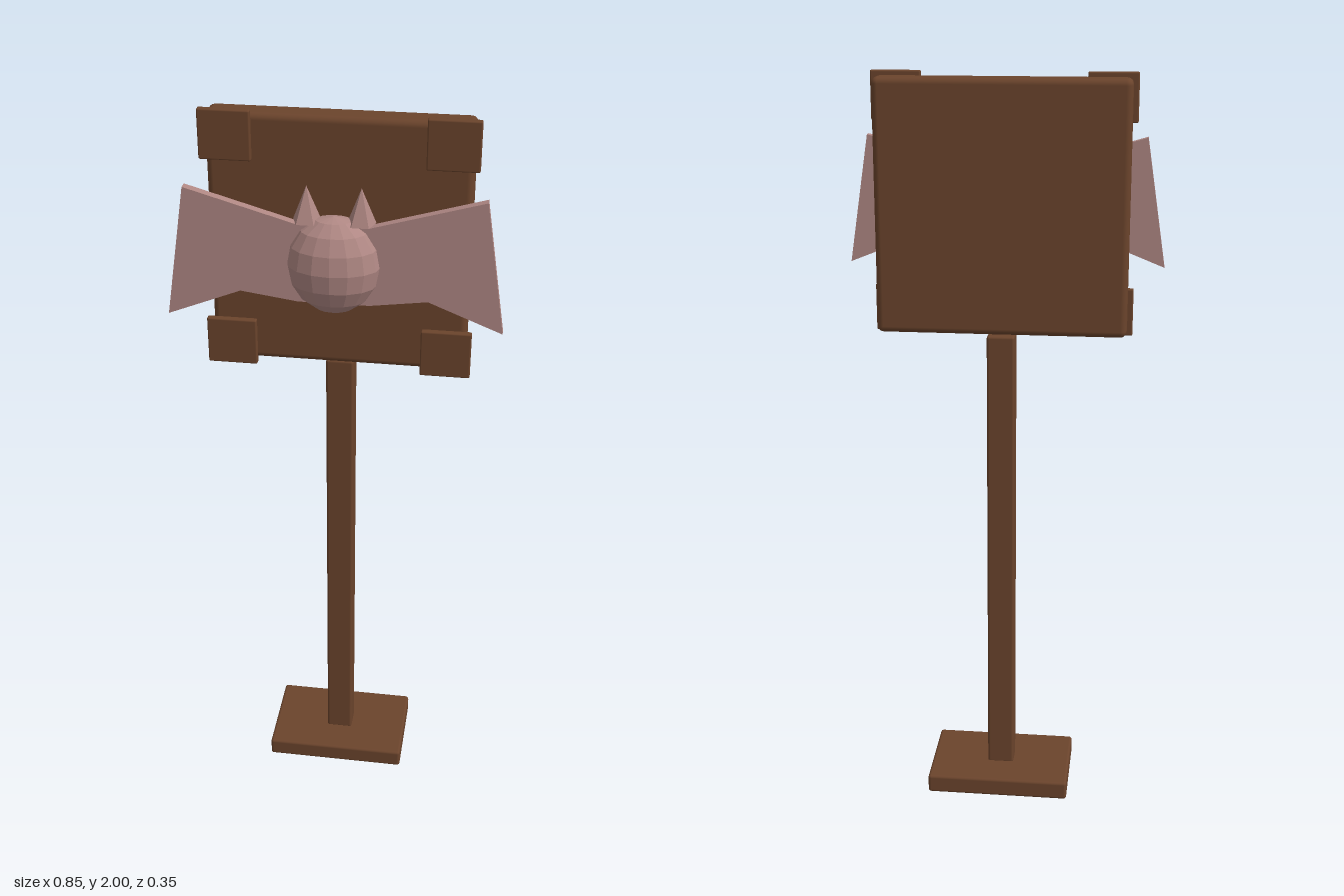
import * as THREE from 'three';
import { RoundedBoxGeometry } from 'three/addons/geometries/RoundedBoxGeometry.js';

export function createModel() {
  const wood = new THREE.MeshStandardMaterial({ color: 0x6b442c });
  wood.name = 'wood';
  const pink = new THREE.MeshStandardMaterial({ color: 0xb08884, flatShading: true });
  pink.name = 'dustyPink';

  const model = new THREE.Group();
  model.name = 'batSign';

  const add = (name, geometry, material, x, y, z) => {
    const mesh = new THREE.Mesh(geometry, material);
    mesh.name = name;
    mesh.position.set(x, y, z);
    model.add(mesh);
    return mesh;
  };
  // Softly bevelled wooden block given by its size and centre
  const block = (name, w, h, d, radius, x, y, z) =>
    add(name, new RoundedBoxGeometry(w, h, d, 2, radius), wood, x, y, z);

  // Stand and board
  block('base', 0.396, 0.053, 0.265, 0.008, 0, 0.0265, -0.0425);
  block('post', 0.074, 1.28, 0.066, 0.007, 0, 0.688, -0.04);
  block('board', 0.66, 0.66, 0.075, 0.017, 0, 1.659, -0.03);

  // Corner plates on the board
  for (const side of [1, -1]) {
    for (const y of [1.937, 1.382]) {
      block('cornerPlate', 0.13, 0.126, 0.019, 0.004, side * 0.279, y, 0.0165);
    }
  }

  // Bat body
  const body = add('batBody', new THREE.SphereGeometry(1, 16, 8), pink, 0, 1.647, 0.092);
  body.scale.set(0.117, 0.126, 0.081);

  // Wings, one mirrored plate through the body
  const half = [[0.09, 1.75], [0.37, 1.83], [0.423, 1.49], [0.235, 1.565], [0.09, 1.545]];
  const outline = [
    ...half,
    ...half.map(([x, y]) => [-x, y]).reverse(),
  ].map(([x, y]) => new THREE.Vector2(x, y));
  const wings = new THREE.ExtrudeGeometry(new THREE.Shape(outline), { depth: 0.024, bevelEnabled: false });
  add('batWings', wings, pink, 0, 0, 0.077);

  // Ears
  for (const side of [1, -1]) {
    const ear = add('batEar', new THREE.ConeGeometry(0.037, 0.09, 5), pink, side * 0.067, 1.8, 0.087);
    ear.rotation.y = Math.PI;
  }

  return model;
}
